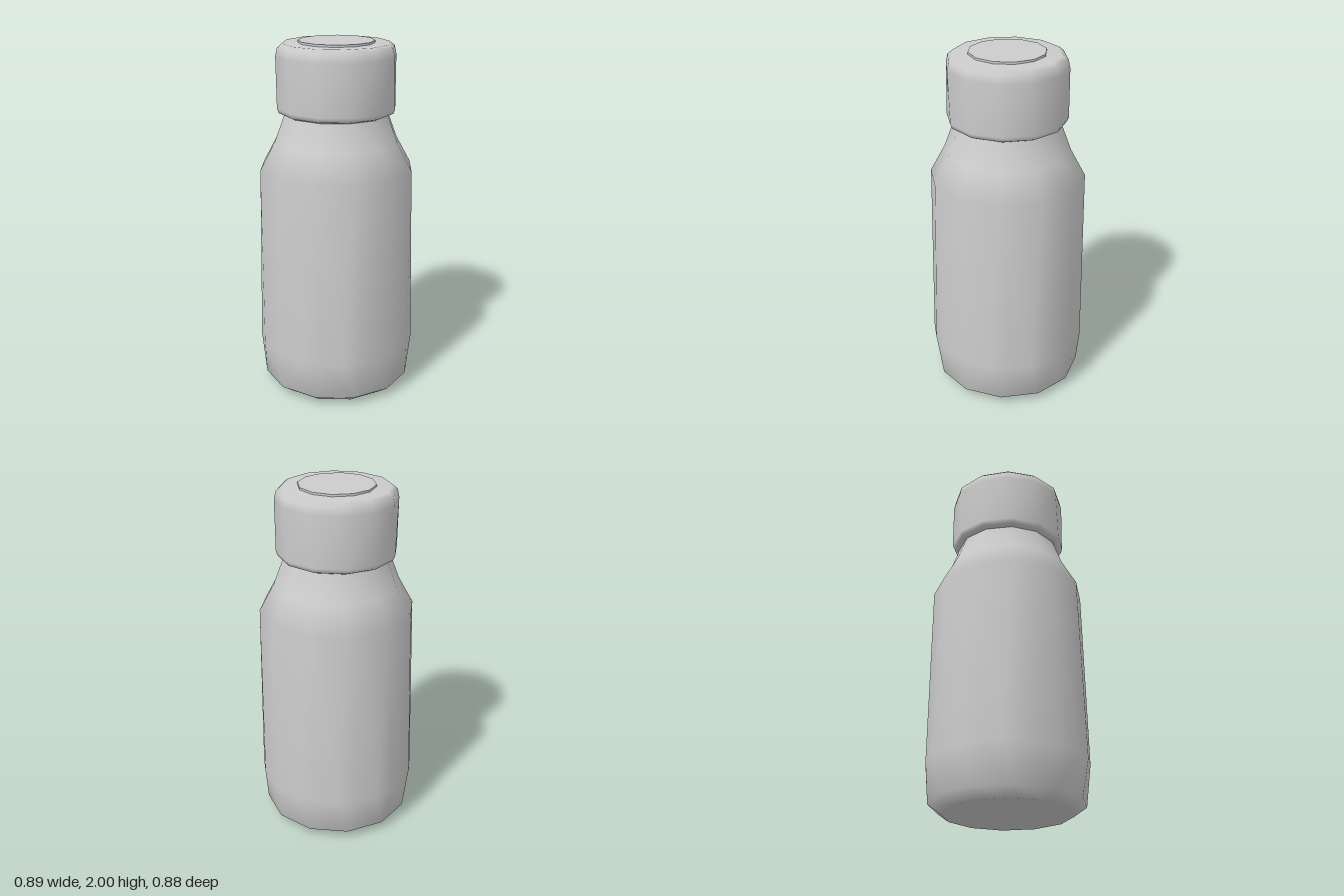
import * as THREE from 'three';

const TURN = Math.PI * 2;

// Evenly spaced corner angles in degrees
const even = (n, offset) => Array.from({ length: n }, (_, i) => offset + (i * 360) / n);

// Skin a stack of rings [radius, y, angles]; rings may differ in corner count
function skin(rings) {
  const pos = [], index = [], starts = [];
  for (const [r, y, angles] of rings) {
    starts.push(pos.length / 3);
    for (const deg of angles) {
      const a = (deg * TURN) / 360;
      pos.push(r * Math.cos(a), y, -r * Math.sin(a));
    }
  }
  const at = (k, i) => starts[k] + (i % rings[k][2].length);
  const angle = (k, i) => {
    const a = rings[k][2];
    return a[i % a.length] + 360 * Math.floor(i / a.length);
  };
  // Zip neighbouring rings together in order of angle
  for (let k = 0; k + 1 < rings.length; k++) {
    const n = rings[k][2].length, m = rings[k + 1][2].length;
    let i = 0, j = 0;
    while (i < n || j < m) {
      const low = j >= m || (i < n &&
        angle(k, i) + angle(k, i + 1) <= angle(k + 1, j) + angle(k + 1, j + 1));
      if (low) index.push(at(k, i), at(k, ++i), at(k + 1, j));
      else index.push(at(k, i), at(k + 1, j + 1), at(k + 1, j++));
    }
  }
  // Close both ends with flat fans
  const last = rings.length - 1;
  for (const k of [0, last]) {
    const c = pos.length / 3, n = rings[k][2].length;
    pos.push(0, rings[k][1], 0);
    for (let i = 0; i < n; i++) {
      if (k === 0) index.push(c, at(k, i + 1), at(k, i));
      else index.push(c, at(k, i), at(k, i + 1));
    }
  }
  const g = new THREE.BufferGeometry();
  g.setAttribute('position', new THREE.Float32BufferAttribute(pos, 3));
  g.setIndex(index);
  g.computeVertexNormals();
  return g;
}

export function createModel() {
  const group = new THREE.Group();
  const grey = new THREE.MeshStandardMaterial({ color: 0xcccccc });
  grey.name = 'light grey';
  const add = (name, geometry) => {
    const mesh = new THREE.Mesh(geometry, grey);
    mesh.name = name;
    group.add(mesh);
  };

  const twelve = even(12, -7.5);
  const belly = [-7.5, 15, 30, 45, 60, 82.5, 105, 120, 135, 150, 165, 180,
    195, 210, 225, 240, 262.5, 285, 300, 315, 330];

  // Bottle body: narrow foot, slight taper, sloping shoulder and neck
  add('bottleBody', skin([
    [0.355, 0, twelve],
    [0.425, 0.05, twelve],
    [0.446, 0.27, belly],
    [0.432, 1.3, twelve],
    [0.35, 1.45, twelve],
    [0.29, 1.61, twelve],
    [0.285, 1.64, twelve],
  ]));

  // Screw cap with rounded rims
  const turned = even(12, -12);
  add('cap', skin([
    [0.3, 1.605, twelve],
    [0.322, 1.615, twelve],
    [0.332, 1.64, twelve],
    [0.332, 1.92, turned],
    [0.322, 1.965, turned],
    [0.295, 1.988, turned],
  ]));

  // Thin raised disc on the cap
  const disc = new THREE.CylinderGeometry(0.21, 0.21, 0.014, 12);
  disc.rotateY(0.13);
  disc.translate(0, 1.993, 0);
  add('capDisc', disc);

  return group;
}
